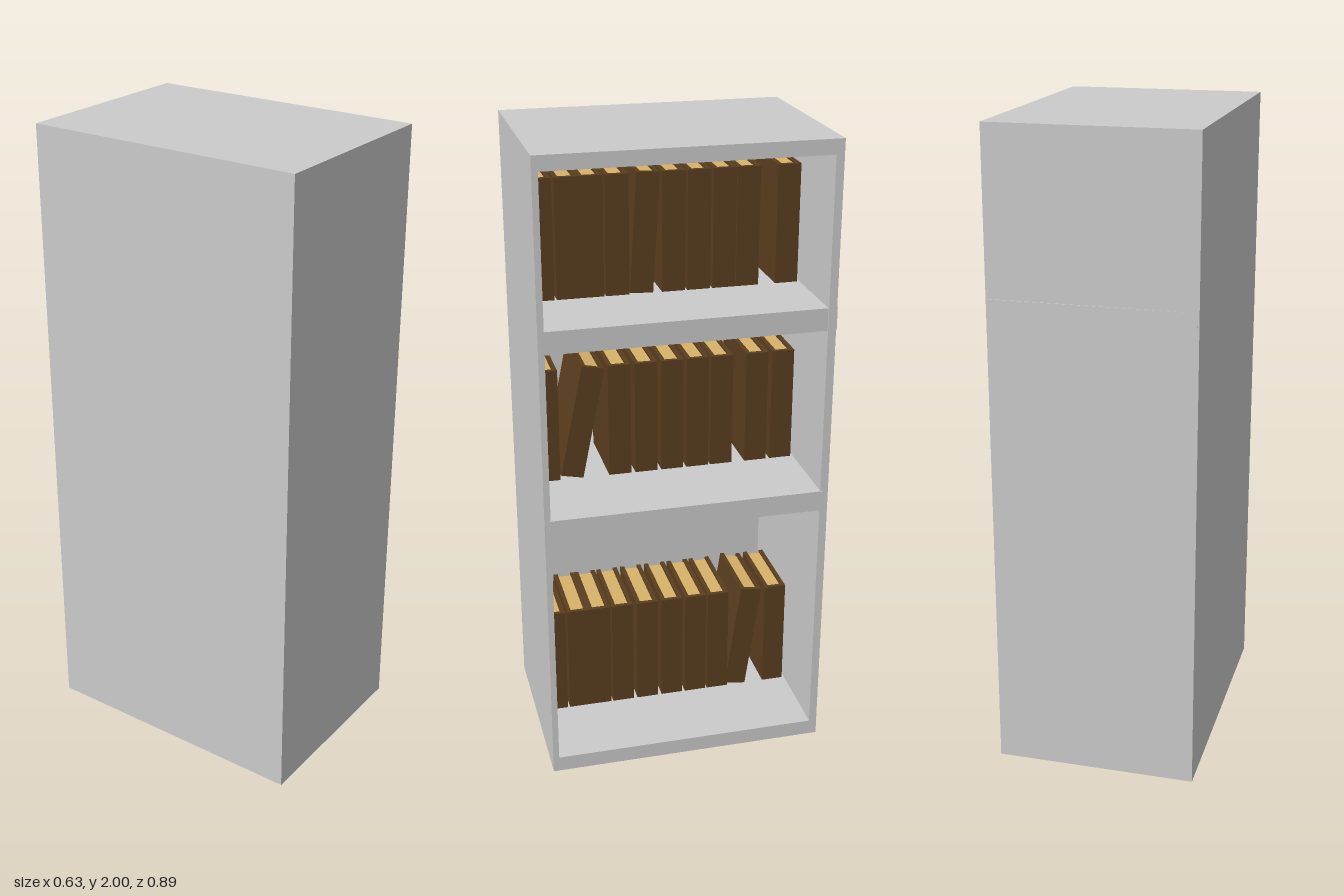
import * as THREE from 'three';

const grey = new THREE.MeshStandardMaterial({ color: 0xcccccc });
const brown = new THREE.MeshStandardMaterial({ color: 0x5a3e1f });
const tan = new THREE.MeshStandardMaterial({ color: 0xd8b36a });

// Box given by its lower and upper bounds on each axis
function box(name, [x0, x1], [y0, y1], [z0, z1], material) {
  const mesh = new THREE.Mesh(new THREE.BoxGeometry(x1 - x0, y1 - y0, z1 - z0), material);
  mesh.position.set((x0 + x1) / 2, (y0 + y1) / 2, (z0 + z1) / 2);
  mesh.name = name;
  return mesh;
}

const WIDTH = 0.072, HEIGHT = 0.37, FRONT = 0.04, BACK = -0.22, COVER = 0.014;

// Two cover boards, a spine facing +x and a page block; the base is at y = 0
function createBook() {
  const book = new THREE.Group();
  book.name = 'book';
  const h = WIDTH / 2;
  for (const s of [-1, 1]) {
    const z = [s * h, s * (h - COVER)].sort((a, b) => a - b);
    book.add(box('cover', [BACK, FRONT], [0, HEIGHT], z, brown));
  }
  book.add(box('spine', [FRONT - COVER, FRONT], [0, HEIGHT], [COVER - h, h - COVER], brown));
  book.add(box('pages', [BACK + 0.008, FRONT - COVER], [0.006, HEIGHT - 0.006], [COVER - h, h - COVER], tan));
  return book;
}

// Upright books at the given z centres, plus one book leaning towards -z
function createBookRow(y, centres, leanZ, lean) {
  const row = new THREE.Group();
  row.name = 'bookRow';
  for (const z of centres) {
    const book = createBook();
    book.position.set(0, y, z);
    row.add(book);
  }
  const leaning = createBook();
  leaning.name = 'leaningBook';
  leaning.rotation.x = -lean;
  leaning.position.set(0, y + (WIDTH / 2) * Math.sin(lean), leanZ);
  row.add(leaning);
  return row;
}

export function createModel() {
  const model = new THREE.Group();
  model.name = 'bookcase';
  const X = [-0.315, 0.31], Z = [-0.443, 0.447], inner = [-0.418, 0.428];

  // Case, open towards +x
  const body = new THREE.Group();
  body.name = 'case';
  body.add(
    box('backPanel', [X[0], -0.298], [0, 2], Z, grey),
    box('frontSide', [-0.298, X[1]], [0, 2], [inner[1], Z[1]], grey),
    box('rearSide', [-0.298, X[1]], [0, 2], [Z[0], inner[0]], grey),
    box('bottomBoard', [-0.298, X[1]], [0, 0.05], inner, grey),
    box('topBoard', [-0.298, X[1]], [1.955, 2], inner, grey),
    box('lowerShelf', [-0.298, 0.314], [0.84, 0.905], [-0.425, 0.432], grey)
  );
  // Upper shelf sits slightly askew, its corner showing through the rear side
  const upper = box('upperShelf', [-0.308, 0.308], [1.43, 1.5], [-0.445, 0.44], grey);
  upper.rotation.y = 0.005;
  body.add(upper);
  model.add(body);

  // Books
  model.add(
    createBookRow(0.05, [0.386, 0.307, 0.235, 0.157, 0.072, -0.013, -0.095, -0.174, -0.374], -0.238, 0.14),
    createBookRow(0.905, [0.386, 0.157, 0.072, -0.013, -0.095, -0.174, -0.289, -0.374], 0.312, 0.2),
    createBookRow(1.5, [0.386, 0.307, 0.235, 0.157, -0.016, -0.095, -0.174, -0.248, -0.374], 0.084, 0.06)
  );
  return model;
}
